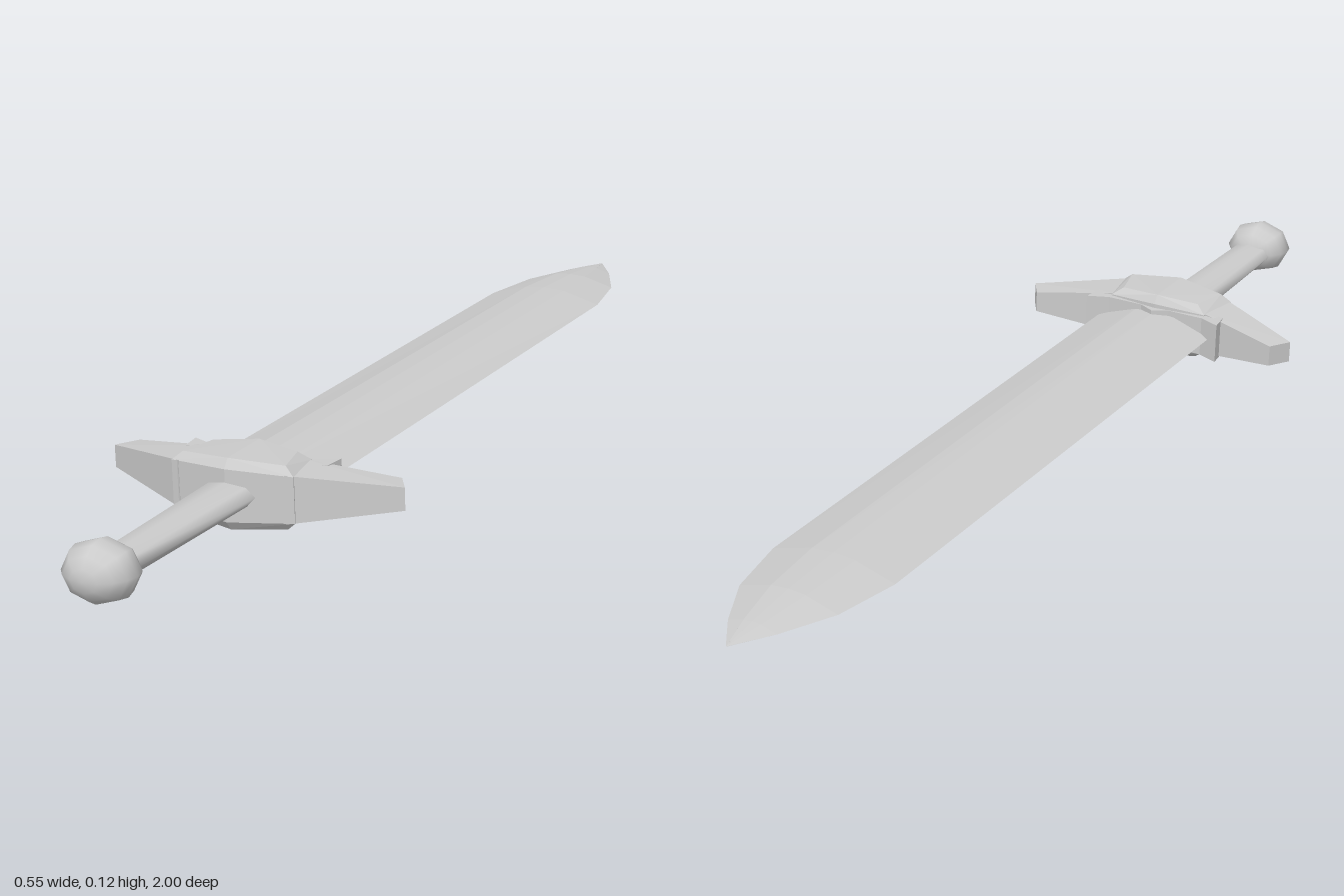
import * as THREE from 'three';
import { ConvexGeometry } from 'three/addons/geometries/ConvexGeometry.js';

const smooth = new THREE.MeshStandardMaterial({ color: 0xcccccc });
const flat = new THREE.MeshStandardMaterial({ color: 0xcccccc, flatShading: true });

// Skin between cross-sections: stations are [z, halfWidth, halfHeight], from +z to -z
function loft(section, stations) {
  const pos = [], index = [], n = section.length;
  for (const [z, w, h] of stations) for (const [x, y] of section) pos.push(x * w, y * h, z);
  for (let i = 0; i < stations.length - 1; i++) {
    for (let j = 0; j < n; j++) {
      const a = i * n + j, b = i * n + (j + 1) % n;
      index.push(a, a + n, b, b, a + n, b + n);
    }
  }
  const g = new THREE.BufferGeometry();
  g.setAttribute('position', new THREE.Float32BufferAttribute(pos, 3));
  g.setIndex(index);
  g.computeVertexNormals();
  return g;
}

// Convex solid symmetric in y, from [x, z, halfHeight] points
function hull(points) {
  return new ConvexGeometry(points.flatMap(([x, z, h]) =>
    [new THREE.Vector3(x, h, z), new THREE.Vector3(x, -h, z)]));
}

export function createModel() {
  const model = new THREE.Group();
  const sword = new THREE.Group();
  sword.name = 'sword';
  sword.position.y = 0.064;
  sword.rotation.set(-0.003, 0, 0.031);
  model.add(sword);
  const add = (name, geometry, material) => {
    const mesh = new THREE.Mesh(geometry, material);
    mesh.name = name;
    sword.add(mesh);
    return mesh;
  };

  // Blade: central ridge, shallow flats, bevels down to the cutting edges
  const bladeSection = [[1, 0], [0.35, 0.88], [0, 1], [-0.35, 0.88],
    [-1, 0], [-0.35, -0.88], [0, -1], [0.35, -0.88]];
  add('blade', loft(bladeSection, [
    [0.5, 0.118, 0.03], [-0.7, 0.116, 0.025], [-0.83, 0.092, 0.02],
    [-0.93, 0.045, 0.01], [-1, 0.0005, 0.0005],
  ]), flat);

  // Guard centre: chamfered block, slightly peaked in the middle
  const centre = [[0, 0.46, 0.062], [0, 0.565, 0.062], [0, 0.45, 0.046], [0, 0.577, 0.046]];
  for (const s of [-1, 1]) {
    centre.push([s * 0.08, 0.475, 0.055], [s * 0.097, 0.545, 0.055],
      [s * 0.1, 0.463, 0.04], [s * 0.115, 0.553, 0.04]);
  }
  add('guardCentre', hull(centre), flat);

  // Guard arms: tapered and swept toward the blade
  for (const s of [-1, 1]) {
    add(s > 0 ? 'guardArmLeft' : 'guardArmRight', hull([
      [s * 0.09, 0.47, 0.042], [s * 0.1, 0.557, 0.042],
      [s * 0.252, 0.436, 0.02], [s * 0.277, 0.476, 0.02],
    ]), flat);
  }

  // Collar: scalloped plate hugging the base of the blade
  const collar = new THREE.Shape([
    [-0.14, 0.435], [-0.1, 0.452], [-0.03, 0.452], [0, 0.436], [0.03, 0.452],
    [0.1, 0.452], [0.14, 0.435], [0.135, 0.475], [0, 0.5], [-0.135, 0.475],
  ].map(([x, z]) => new THREE.Vector2(x, z)));
  const collarGeometry = new THREE.ExtrudeGeometry(collar, { depth: 0.076, bevelEnabled: false });
  collarGeometry.rotateX(Math.PI / 2).translate(0, 0.038, 0);
  add('bladeCollar', collarGeometry, flat);

  // Grip: oval, tapering toward the pommel
  const oval = Array.from({ length: 8 }, (_, i) =>
    [Math.cos(i * Math.PI / 4), Math.sin(i * Math.PI / 4)]);
  add('grip', loft(oval, [[0.93, 0.04, 0.021], [0.56, 0.05, 0.023]]), smooth);

  // Pommel: flattened low-sided ball
  const pommel = new THREE.SphereGeometry(1, 8, 8);
  pommel.rotateX(Math.PI / 2).scale(0.065, 0.052, 0.055);
  add('pommel', pommel, smooth).position.set(0, 0.003, 0.945);

  return model;
}
